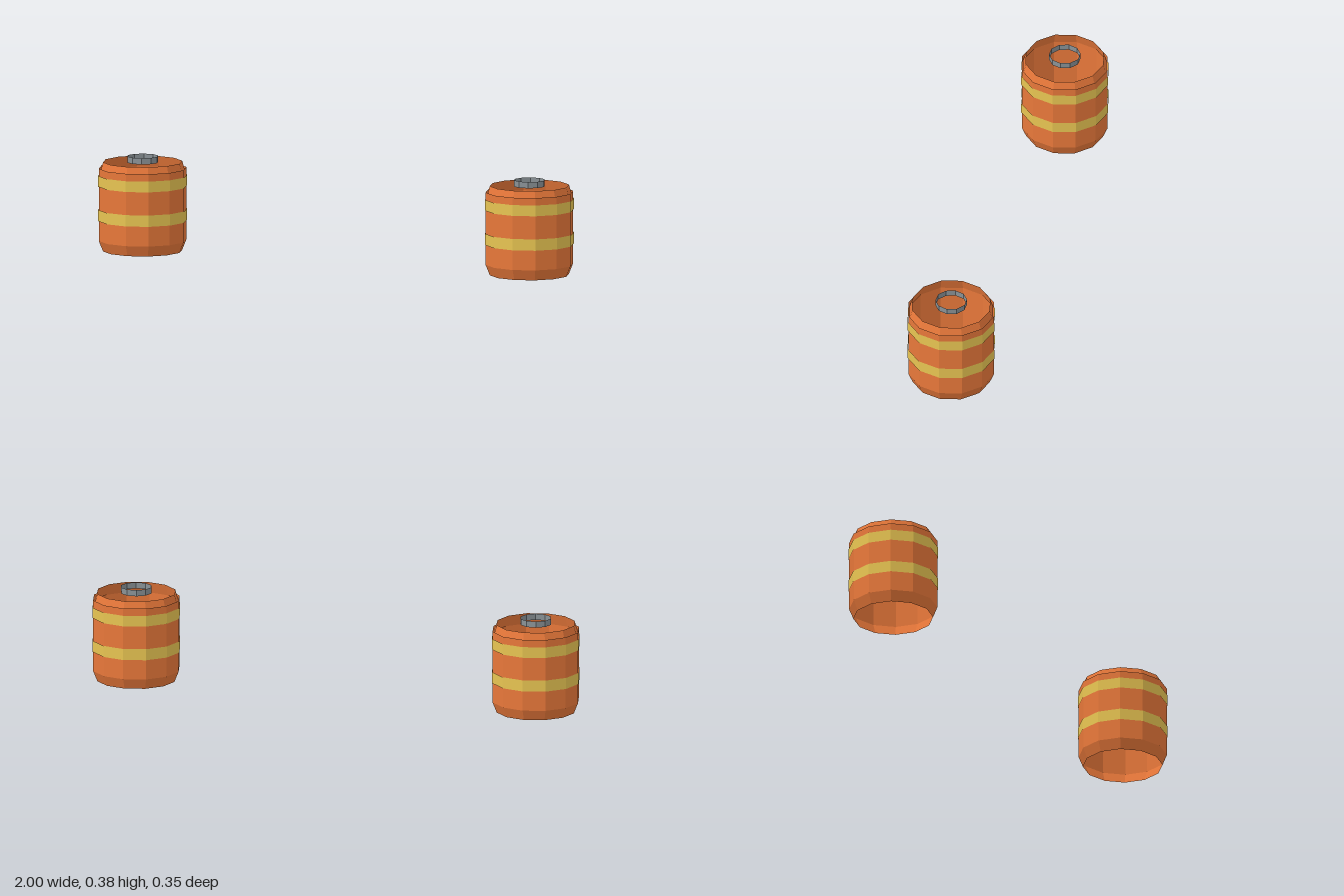
import * as THREE from 'three';

const material = (color) => new THREE.MeshStandardMaterial({ color, flatShading: true, side: THREE.DoubleSide });

// Open faceted tube between two heights, with a corner on the x axis
function shell(name, mat, y0, r0, y1, r1, sides = 12) {
  const geometry = new THREE.CylinderGeometry(r1, r0, y1 - y0, sides, 1, true, Math.PI / 2);
  geometry.translate(0, (y0 + y1) / 2, 0);
  const mesh = new THREE.Mesh(geometry, mat);
  mesh.name = name;
  return mesh;
}

export function createModel() {
  const orange = material(0xe8783a);
  const yellow = material(0xe8c552);
  const grey = material(0x8a9296);
  const model = new THREE.Group();
  model.name = 'barrelPair';

  for (const [side, x] of [['left', 0.823], ['right', -0.823]]) {
    const barrel = new THREE.Group();
    barrel.name = side + 'Barrel';
    barrel.position.x = x;
    barrel.add(
      // Tapered foot, straight wall and inset tapered rim
      shell('foot', orange, 0, 0.157, 0.042, 0.174),
      shell('wall', orange, 0.042, 0.174, 0.33, 0.174),
      shell('rim', orange, 0.31, 0.17, 0.355, 0.157),
      // Stripes standing slightly proud of the wall
      shell('lowerStripe', yellow, 0.121, 0.177, 0.166, 0.177),
      shell('upperStripe', yellow, 0.258, 0.177, 0.301, 0.177),
      // Ring in the middle of the open top
      shell('topRing', grey, 0.352, 0.062, 0.377, 0.062, 10)
    );
    model.add(barrel);
  }
  return model;
}
